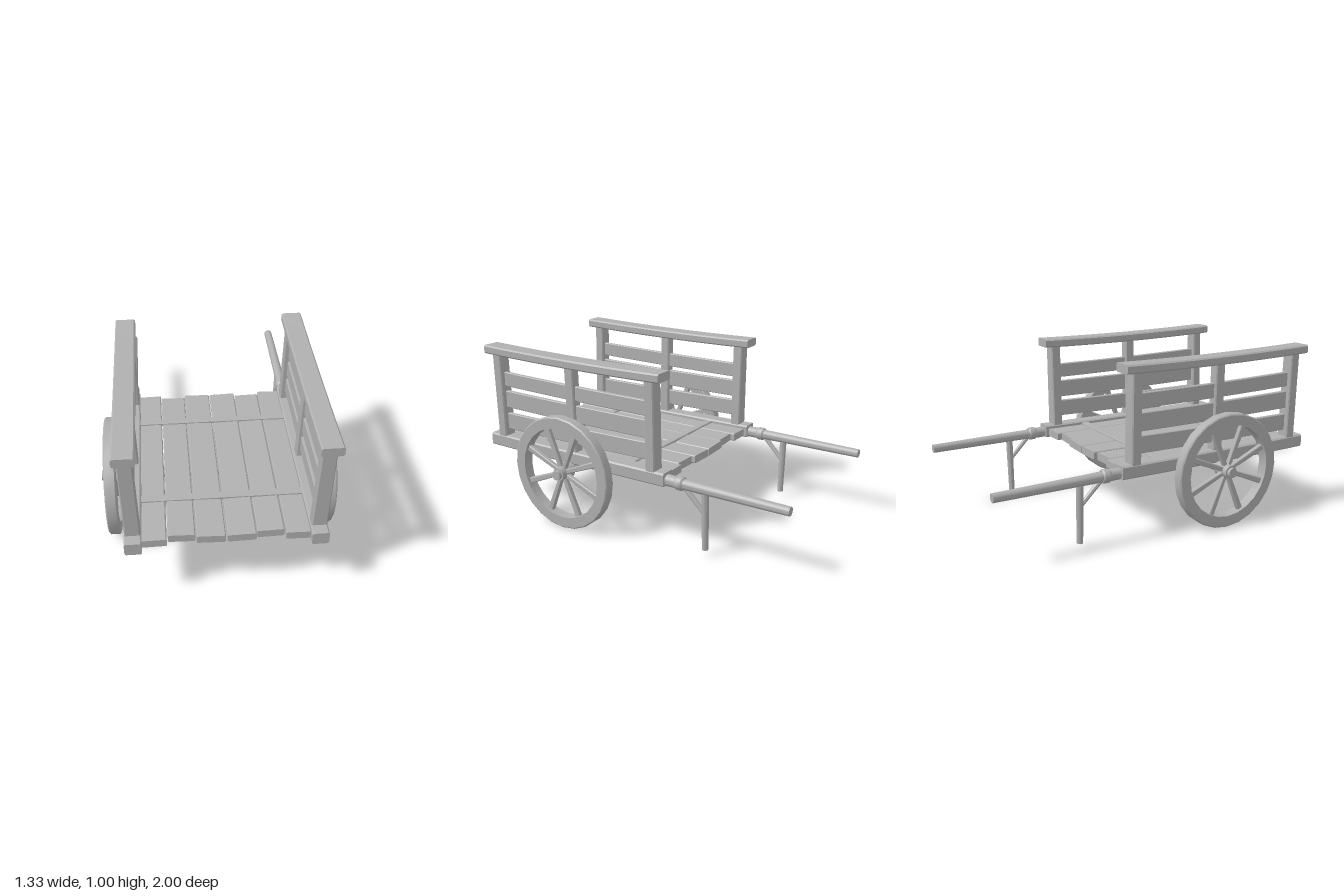
import * as THREE from 'three';
import { toCreasedNormals } from 'three/addons/utils/BufferGeometryUtils.js';

const wood = new THREE.MeshStandardMaterial({ color: 0xb0b0b0 });
wood.name = 'plain wood';

function add(parent, name, geometry, x = 0, y = 0, z = 0) {
  const mesh = new THREE.Mesh(geometry, wood);
  mesh.name = name;
  mesh.position.set(x, y, z);
  parent.add(mesh);
  return mesh;
}

// Timber along z with chamfered edges; bend(t) lifts it, t running -1..1 from back to front
function timber(w, h, length, c = 0.006, bend = () => 0, taper = 0) {
  const a = w / 2, b = h / 2;
  const shape = new THREE.Shape([
    [-a + c, -b], [a - c, -b], [a, -b + c], [a, b - c],
    [a - c, b], [-a + c, b], [-a, b - c], [-a, -b + c],
  ].map(([x, y]) => new THREE.Vector2(x, y)));
  const g = new THREE.ExtrudeGeometry(shape, { depth: length, steps: 8, bevelEnabled: false });
  g.translate(0, 0, -length / 2);
  const p = g.attributes.position;
  for (let i = 0; i < p.count; i++) {
    const t = (2 * p.getZ(i)) / length;
    p.setX(i, p.getX(i) * (1 - taper * t));
    p.setY(i, p.getY(i) + bend(t));
  }
  return toCreasedNormals(g, 0.5);
}

// Round rod between two points
function rod(parent, name, from, to, r0, r1 = r0, sides = 14) {
  const a = new THREE.Vector3(...from), b = new THREE.Vector3(...to);
  const d = b.clone().sub(a);
  const g = toCreasedNormals(new THREE.CylinderGeometry(r1, r0, d.length(), sides), 0.6);
  const mesh = add(parent, name, g);
  mesh.position.copy(a).add(b).multiplyScalar(0.5);
  mesh.quaternion.setFromUnitVectors(new THREE.Vector3(0, 1, 0), d.normalize());
  return mesh;
}

function makeWheel(s) {
  const wheel = new THREE.Group();
  wheel.name = s > 0 ? 'leftWheel' : 'rightWheel';
  const half = 0.032;
  // Rim turned around the axle
  const profile = [[0.27, -half], [0.33, -half], [0.337, -half + 0.006], [0.337, half - 0.006],
    [0.33, half], [0.27, half], [0.27, -half]].map(([x, y]) => new THREE.Vector2(x, y));
  const rim = toCreasedNormals(new THREE.LatheGeometry(profile, 24), 0.5);
  rim.rotateZ(Math.PI / 2);
  add(wheel, 'rim', rim);
  // Eight spokes, wider toward the rim
  for (let i = 0; i < 8; i++) {
    const pivot = new THREE.Group();
    pivot.name = 'spokePivot';
    pivot.rotation.x = Math.PI / 8 + (i * Math.PI) / 4;
    const spoke = timber(0.028, 0.03, 0.255, 0.004);
    const p = spoke.attributes.position;
    for (let k = 0; k < p.count; k++) p.setY(k, p.getY(k) * (1 + 1.4 * p.getZ(k)));
    spoke.computeVertexNormals();
    add(pivot, 'spoke', spoke, 0, 0, 0.15);
    wheel.add(pivot);
  }
  rod(wheel, 'hub', [-s * 0.055, 0, 0], [s * 0.045, 0, 0], 0.043, 0.038, 16);
  wheel.position.set(s * 0.6, 0.337, 0.365);
  return wheel;
}

function makeSide(s) {
  const side = new THREE.Group();
  side.name = s > 0 ? 'leftSide' : 'rightSide';
  // Base beam and top rail
  add(side, 'sideBeam', timber(0.09, 0.076, 1.275, 0.008, (t) => 0.003 * t * t), s * 0.482, 0.399, 0.3625);
  add(side, 'topRail', timber(0.115, 0.05, 1.245, 0.008, (t) => 0.009 * t * t + 0.003 * t),
    s * 0.494, 0.962, 0.361);
  // Posts, leaning slightly outward
  for (const [z, w] of [[0.91, 0.08], [0.365, 0.062], [-0.185, 0.08]]) {
    const post = timber(w, 0.06, 0.54, 0.006, () => 0, 0.03);
    post.rotateX(-Math.PI / 2);
    add(side, 'post', post, s * 0.488, 0.68, z).rotation.z = -s * 0.02;
  }
  // Slats between the posts
  [[0.53, 0.1, -0.005], [0.663, 0.104, 0.002], [0.785, 0.086, 0.006]].forEach(([y, h, tilt], i) => {
    add(side, 'slat', timber(0.026, h, 1.1, 0.004, (t) => tilt * t + 0.004 * t * t),
      s * (0.484 + i * 0.003), y, 0.362);
  });
  // Handle with its collar
  const x = s * 0.483, y = 0.39;
  rod(side, 'handleNeck', [x, y + 0.003, -0.26], [x, y + 0.003, -0.345], 0.033, 0.033);
  const collar = new THREE.LatheGeometry([[0, -0.024], [0.033, -0.024], [0.039, -0.016], [0.039, 0.016],
    [0.033, 0.024], [0, 0.024]].map(([a, b]) => new THREE.Vector2(a, b)), 16);
  collar.rotateX(Math.PI / 2);
  add(side, 'collar', toCreasedNormals(collar, 0.5), x, y + 0.003, -0.358);
  rod(side, 'handle', [x, y + 0.002, -0.35], [x, y - 0.002, -1], 0.03, 0.025);
  // Prop leg and its diagonal brace
  rod(side, 'leg', [s * 0.473, 0.037, -0.511], [s * 0.483, 0.385, -0.512], 0.018, 0.021, 10);
  rod(side, 'legBrace', [s * 0.479, 0.25, -0.507], [x, 0.375, -0.385], 0.013, 0.015, 8);
  return side;
}

export function createModel() {
  const cart = new THREE.Group();
  cart.name = 'handcart';

  // Floor planks: inner edge, outer edge, back end, front end, tilt
  const planks = [[0.004, 0.156, -0.25, 0.956, 0.03], [0.161, 0.304, -0.23, 0.938, 0.03],
    [0.309, 0.44, -0.255, 0.963, -0.02]];
  for (const s of [-1, 1]) {
    for (const [x0, x1, z0, z1, tilt] of planks) {
      const plank = timber(x1 - x0, 0.046, z1 - z0, 0.005, (t) => 0.003 * t * t, 0.01);
      add(cart, 'floorPlank', plank, (s * (x0 + x1)) / 2, 0.394, (z0 + z1) / 2).rotation.z = s * tilt;
    }
    cart.add(makeSide(s), makeWheel(s));
  }

  // Battens across the floor
  for (const z of [0.007, 0.663]) {
    const batten = timber(0.046, 0.024, 0.89, 0.004);
    batten.rotateY(Math.PI / 2);
    add(cart, 'floorBatten', batten, 0, 0.417, z);
  }

  // Axle through both hubs
  rod(cart, 'axle', [-0.665, 0.337, 0.365], [0.665, 0.337, 0.365], 0.028, 0.028, 16);
  return cart;
}
